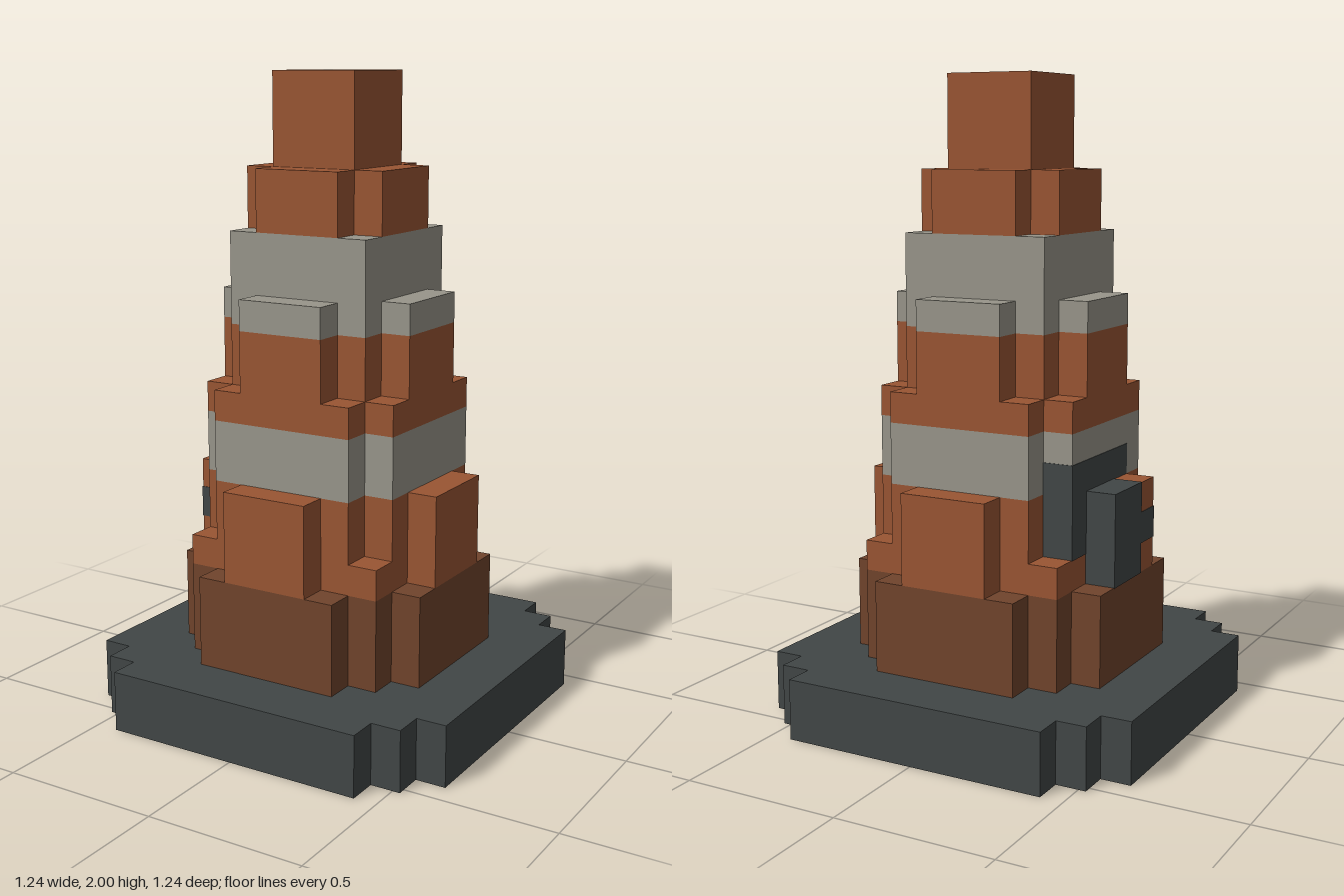
import * as THREE from 'three';

const U = 2 / 21; // one block

const mat = (name, color) => {
  const m = new THREE.MeshStandardMaterial({ color });
  m.name = name;
  return m;
};

// Stepped outline: the corner steps of one quadrant, turned four times
function steppedShape(steps) {
  const corner = [];
  steps.forEach(([x, z], i) => {
    if (i > 0) corner.push([x, steps[i - 1][1]]);
    corner.push([x, z]);
  });
  const pts = [];
  for (let q = 0, c = corner; q < 4; q++, c = c.map(([x, z]) => [-z, x])) {
    c.forEach(([x, z]) => pts.push(new THREE.Vector2(x * U, z * U)));
  }
  return new THREE.Shape(pts);
}

export function createModel() {
  const model = new THREE.Group();
  model.name = 'trafficCone';
  const orange = mat('orange', 0x995533);
  const brown = mat('brown', 0x70442c);
  const grey = mat('lightGrey', 0x98958a);
  const dark = mat('darkGrey', 0x414646);

  const wide = [[3.5, 2.5], [2.5, 3.5]];
  const ribbed = [[3.5, 1.5], [2.5, 2.5], [1.5, 3.5]];

  // Stacked tiers: name, bottom, top, corner steps, material, hole half-width
  const tiers = [
    ['base', 0, 2, [[6.5, 4.5], [5.5, 5.5], [4.5, 6.5]], dark],
    ['dirtyFoot', 2, 5, [[4.5, 2.5], [3.5, 3.5], [2.5, 4.5]], brown],
    ['lowerStep', 5, 6, [[4.5, 1.5], [3.5, 3.5], [1.5, 4.5]], orange],
    ['lowerBody', 6, 8, [[4.5, 1.5], ...wide, [1.5, 4.5]], orange],
    ['lowerStripe', 8, 10, wide, grey],
    ['middleStep', 10, 11, wide, orange],
    ['middleBody', 11, 13, ribbed, orange],
    ['upperStripeStep', 13, 14, ribbed, grey],
    ['upperStripe', 14, 16, [[2.5, 2.5]], grey],
    ['upperBody', 16, 18, [[2.5, 1.5], [1.5, 2.5]], orange],
    ['neck', 18, 20, [[1.5, 1.5]], orange],
    ['rim', 20, 21, [[1.5, 1.5]], orange, 0.5],
  ];
  for (const [name, y0, y1, steps, material, hole] of tiers) {
    const shape = steppedShape(steps);
    if (hole) shape.holes.push(steppedShape([[hole, hole]]));
    const geo = new THREE.ExtrudeGeometry(shape, { depth: (y1 - y0) * U, bevelEnabled: false });
    geo.rotateX(-Math.PI / 2);
    const mesh = new THREE.Mesh(geo, material);
    mesh.name = name;
    mesh.position.y = y0 * U;
    model.add(mesh);
  }

  // Dark scuff on the -x side, a hair proud of the body: [x, y, z] min and max
  const scuff = new THREE.Group();
  scuff.name = 'scuffMark';
  const patches = [
    [[-4.5, 5, -1.5], [-3.5, 8, 0.5]],
    [[-4.5, 6, 0.5], [-3.5, 7, 1.5]],
    [[-3.5, 6, -2.5], [-2.5, 9, -1.5]],
    [[-3.5, 8, -1.5], [-2.5, 9, 1.5]],
  ];
  for (const [a, b] of patches) {
    const size = a.map((v, i) => (b[i] - v + 0.04) * U);
    const mesh = new THREE.Mesh(new THREE.BoxGeometry(...size), dark);
    mesh.name = 'scuffPatch';
    mesh.position.set(...a.map((v, i) => ((v + b[i]) / 2) * U));
    scuff.add(mesh);
  }
  model.add(scuff);
  return model;
}
